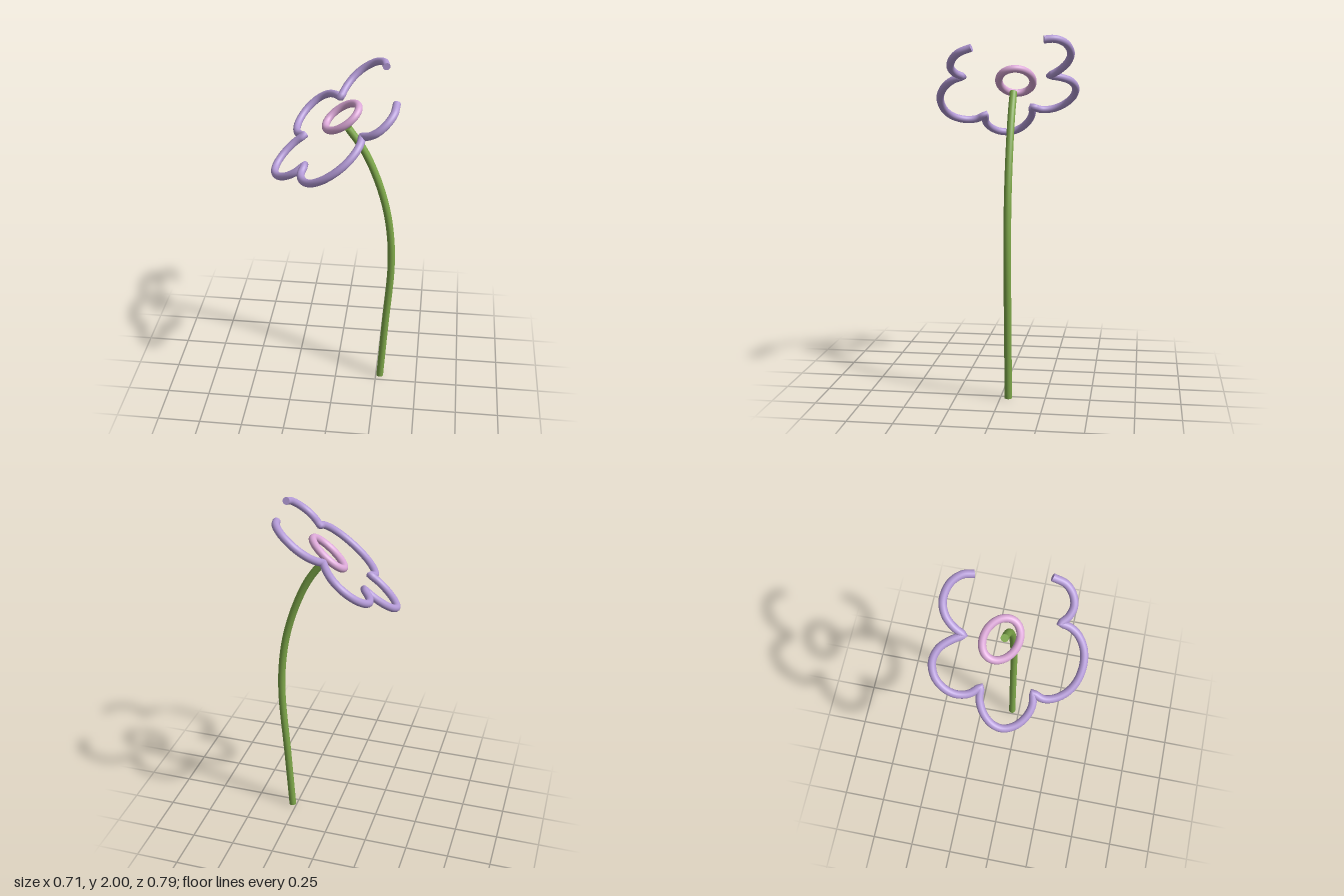
import * as THREE from 'three';

const RADIUS = 0.021;
const SIDES = 20;

// Flower plane: height at (x, z), and its normal
const SLOPE_X = 0.79, SLOPE_Z = -0.28;
const onPlane = (x, z) => new THREE.Vector3(x, 1.715 + SLOPE_X * x + SLOPE_Z * z, z);
const planeNormal = new THREE.Vector3(-SLOPE_X, 1, -SLOPE_Z).normalize();

// Sweeps a round section along a path lying in a plane with the given normal
function sweep(path, normal, closed = false) {
  const pos = [], idx = [], n = path.length;
  const at = i => closed ? path[(i + n) % n] : path[Math.min(Math.max(i, 0), n - 1)];
  const addRing = i => {
    const before = at(i).clone().sub(at(i - 1)).normalize();
    const after = at(i + 1).clone().sub(at(i)).normalize();
    const side = normal.clone().cross(before.add(after).normalize()).normalize();
    for (let j = 0; j < SIDES; j++) {
      const a = j / SIDES * Math.PI * 2;
      const p = at(i).clone().addScaledVector(side, RADIUS * Math.cos(a))
        .addScaledVector(normal, RADIUS * Math.sin(a));
      pos.push(p.x, p.y, p.z);
    }
  };
  for (let i = 0; i < n; i++) addRing(i);
  for (let i = 0; i < (closed ? n : n - 1); i++) {
    for (let j = 0; j < SIDES; j++) {
      const k = (j + 1) % SIDES, next = (i + 1) % n * SIDES;
      const a = i * SIDES + j, b = i * SIDES + k, c = next + j, d = next + k;
      idx.push(a, b, c, b, d, c);
    }
  }
  // Flat end caps with their own vertices for a crisp edge
  if (!closed) {
    for (const i of [0, n - 1]) {
      const start = pos.length / 3;
      addRing(i);
      pos.push(at(i).x, at(i).y, at(i).z);
      for (let j = 0; j < SIDES; j++) {
        const a = start + j, b = start + (j + 1) % SIDES, centre = start + SIDES;
        if (i === 0) idx.push(centre, b, a);
        else idx.push(centre, a, b);
      }
    }
  }
  const geo = new THREE.BufferGeometry();
  geo.setAttribute('position', new THREE.Float32BufferAttribute(pos, 3));
  geo.setIndex(idx);
  geo.computeVertexNormals();
  return geo;
}

function addPart(group, name, geometry, color) {
  const mesh = new THREE.Mesh(geometry, new THREE.MeshStandardMaterial({ color }));
  mesh.name = name;
  group.add(mesh);
}

const smooth = (points, steps) =>
  new THREE.CatmullRomCurve3(points, false, 'centripetal').getSpacedPoints(steps);

export function createModel() {
  const group = new THREE.Group();
  group.name = 'flower';

  // Petal outline: five lobes as [x, z], each starting where the last one ends
  const lobes = [
    [[0.252, -0.232], [0.235, -0.29], [0.188, -0.343], [0.115, -0.366], [0.06, -0.345], [0.025, -0.3], [0.003, -0.24]],
    [[0.003, -0.24], [-0.035, -0.305], [-0.08, -0.355], [-0.137, -0.377], [-0.195, -0.357], [-0.232, -0.305],
      [-0.244, -0.24], [-0.228, -0.175], [-0.185, -0.12]],
    [[-0.185, -0.12], [-0.24, -0.116], [-0.295, -0.083], [-0.328, -0.03], [-0.332, 0.025], [-0.305, 0.085],
      [-0.255, 0.132], [-0.2, 0.153], [-0.147, 0.145]],
    [[-0.147, 0.145], [-0.161, 0.2], [-0.145, 0.26], [-0.1, 0.322], [-0.04, 0.36], [0.03, 0.373], [0.09, 0.36],
      [0.138, 0.32], [0.16, 0.27], [0.162, 0.222]],
    [[0.162, 0.222], [0.2, 0.258], [0.245, 0.274], [0.29, 0.258], [0.322, 0.215], [0.331, 0.145]],
  ];
  const outline = [];
  lobes.forEach((lobe, i) => {
    const points = smooth(lobe.map(([x, z]) => onPlane(x, z)), 40);
    outline.push(...(i ? points.slice(1) : points));
  });
  addPart(group, 'petals', sweep(outline, planeNormal), 0xb39ad6);

  // Centre ring: an ellipse slanted within the flower plane
  const ring = [];
  for (let i = 0; i < 64; i++) {
    const a = i / 64 * Math.PI * 2;
    const u = 0.074 * Math.cos(a), v = 0.054 * Math.sin(a);
    ring.push(onPlane(0.03 + u - v, -0.055 + u + v));
  }
  addPart(group, 'flowerCentre', sweep(ring, planeNormal, true), 0xdca8d8);

  // Stem: straight below, bending over towards the bloom
  const z = -0.045;
  const stemPoints = [[0.275, 0], [0.298, 0.4], [0.322, 0.8], [0.315, 1.0], [0.285, 1.2],
    [0.226, 1.4], [0.15, 1.57], [0.065, 1.695]].map(([x, y]) => new THREE.Vector3(x, y, z));
  addPart(group, 'stem', sweep(smooth(stemPoints, 60), new THREE.Vector3(0, 0, 1)), 0x7ea84a);

  return group;
}
